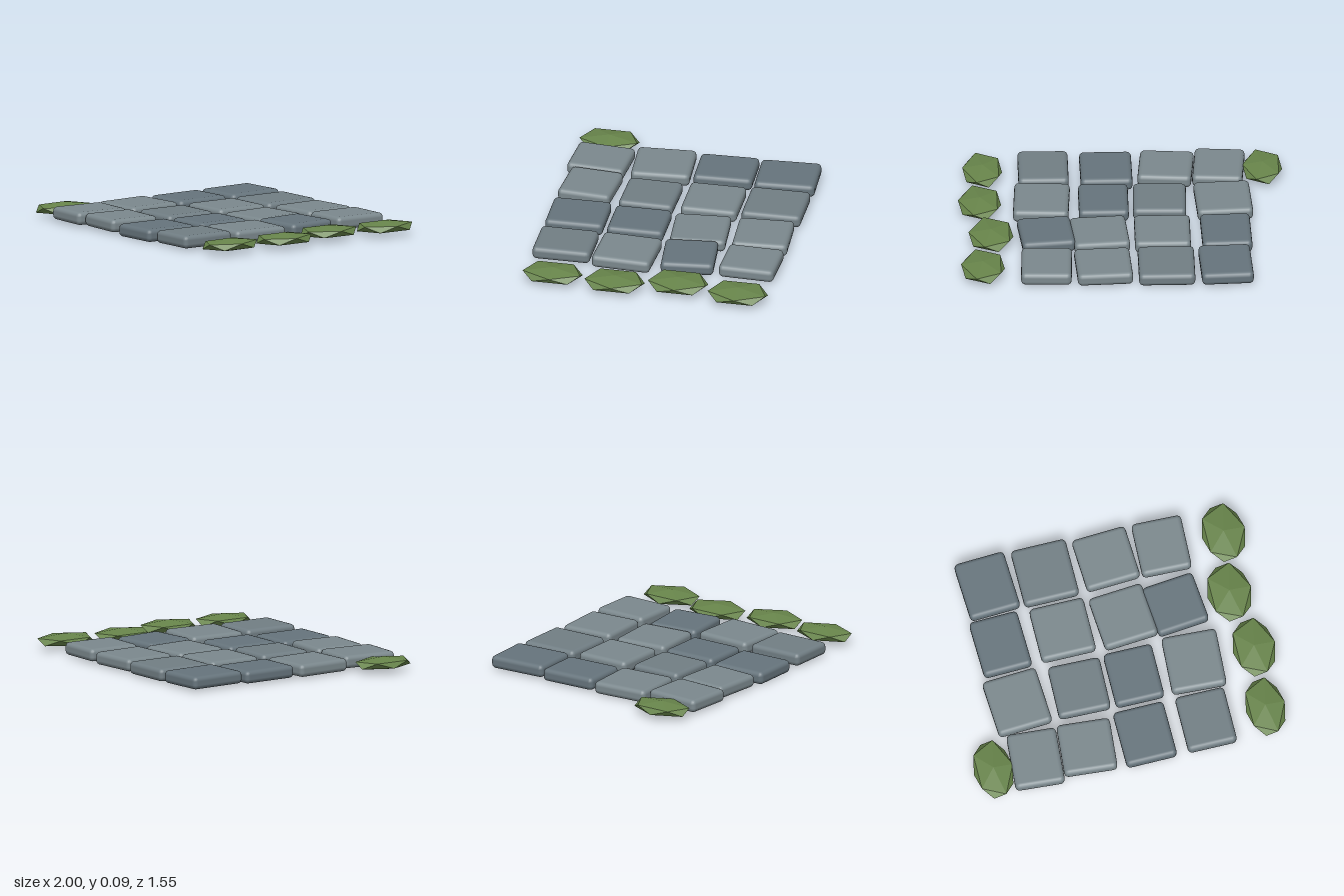
import * as THREE from 'three';
import { RoundedBoxGeometry } from 'three/addons/geometries/RoundedBoxGeometry.js';
import { ConvexGeometry } from 'three/addons/geometries/ConvexGeometry.js';

// Paving stones, back row to front row: x, y, z, width, depth, turn, shade
const STONES = [
  [-0.63, 0.055, -0.585, 0.318, 0.374, 0.05, 0],
  [-0.265, 0.05, -0.585, 0.345, 0.37, 0.005, 1],
  [0.12, 0.05, -0.585, 0.34, 0.342, 0.055, 2],
  [0.47, 0.055, -0.583, 0.31, 0.345, -0.03, 2],
  [-0.64, 0.05, -0.198, 0.305, 0.365, 0.03, 0],
  [-0.249, 0.05, -0.198, 0.342, 0.35, 0, 2],
  [0.134, 0.045, -0.195, 0.342, 0.345, 0.08, 2],
  [0.463, 0.05, -0.195, 0.326, 0.326, 0.1, 0],
  [-0.631, 0.05, 0.193, 0.342, 0.365, 0.06, 2],
  [-0.24, 0.048, 0.193, 0.325, 0.338, -0.02, 1],
  [0.104, 0.045, 0.193, 0.305, 0.35, 0, 0],
  [0.484, 0.05, 0.193, 0.34, 0.368, -0.05, 2],
  [-0.61, 0.055, 0.58, 0.307, 0.358, -0.07, 2],
  [-0.286, 0.053, 0.58, 0.33, 0.33, -0.08, 2],
  [0.08, 0.042, 0.58, 0.318, 0.36, 0.01, 0],
  [0.465, 0.052, 0.58, 0.308, 0.36, 0, 1],
];

// Moss clumps: x, z, half width
const MOSS = [
  [0.86, -0.58, 0.134],
  [0.802, -0.195, 0.137],
  [0.863, 0.19, 0.132],
  [0.838, 0.583, 0.122],
  [-0.878, 0.583, 0.122],
];

const HEIGHT = 0.08;

// Twenty-sided solid standing on a vertex, its upper ring pointing to +x
function mossGeometry() {
  const points = [new THREE.Vector3(0, 1, 0), new THREE.Vector3(0, -1, 0)];
  const y = 1 / Math.sqrt(5), r = 2 * y;
  for (let i = 0; i < 10; i++) {
    const a = i * Math.PI / 5;
    points.push(new THREE.Vector3(r * Math.cos(a), i % 2 ? -y : y, r * Math.sin(a)));
  }
  return new ConvexGeometry(points);
}

export function createModel() {
  const model = new THREE.Group();

  // Rounded slabs, each slightly turned
  const paving = new THREE.Group();
  paving.name = 'paving';
  const shades = [0x66747c, 0x717e84, 0x7b888d].map(
    (color) => new THREE.MeshStandardMaterial({ color }));
  STONES.forEach(([x, y, z, w, d, turn, shade], i) => {
    const stone = new THREE.Mesh(new RoundedBoxGeometry(w, HEIGHT, d, 2, 0.028), shades[shade]);
    stone.name = `pavingStone${i + 1}`;
    stone.position.set(x, y, z);
    stone.rotation.y = turn;
    paving.add(stone);
  });
  model.add(paving);

  // Flattened faceted moss along the edges
  const moss = new THREE.Group();
  moss.name = 'moss';
  const green = new THREE.MeshStandardMaterial({ color: 0x67844a, flatShading: true });
  const clumpGeometry = mossGeometry();
  MOSS.forEach(([x, z, half], i) => {
    const clump = new THREE.Mesh(clumpGeometry, green);
    clump.name = `mossClump${i + 1}`;
    clump.position.set(x, 0.056, z);
    clump.scale.set(half / 0.894, 0.04, 0.212);
    moss.add(clump);
  });
  model.add(moss);

  return model;
}
